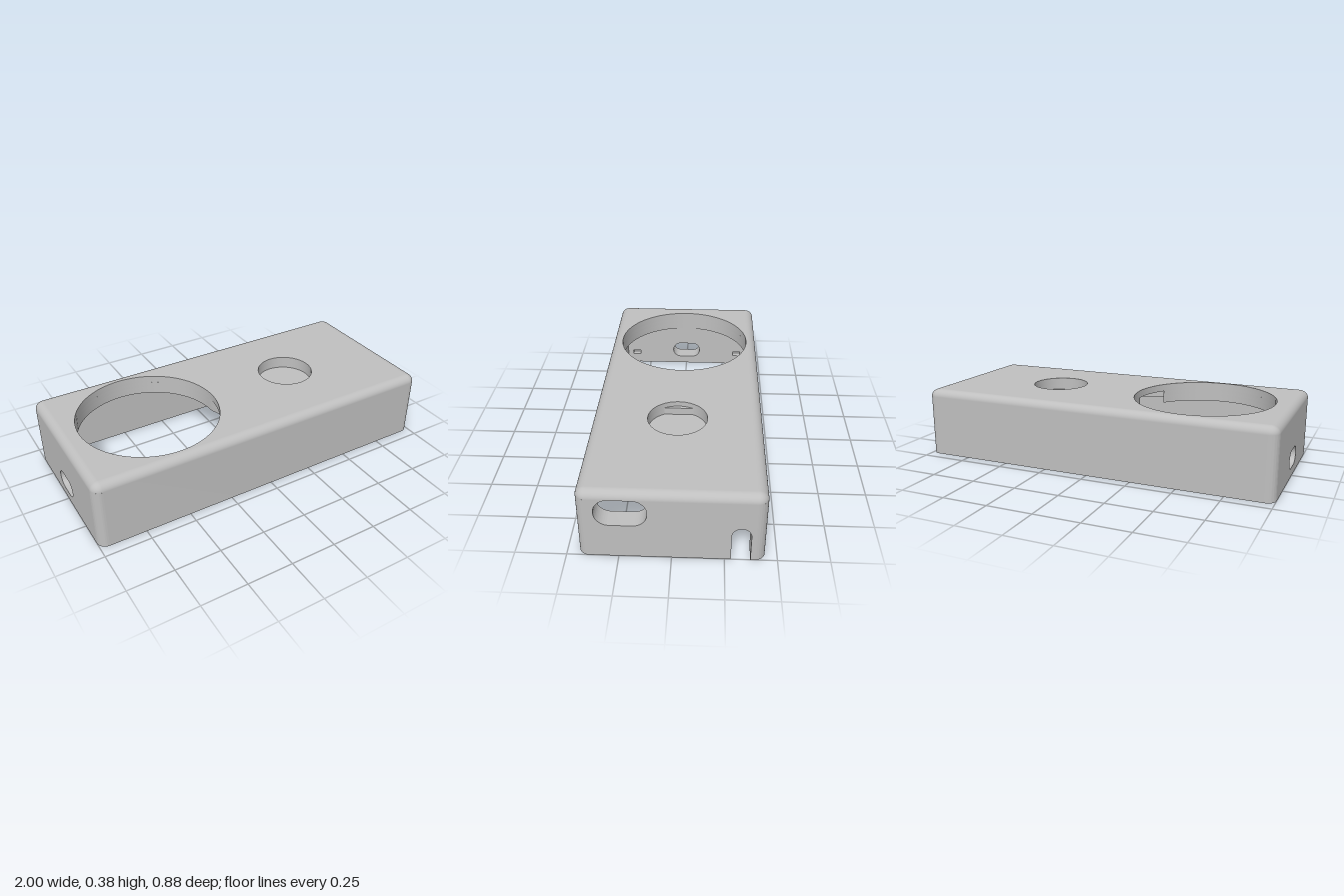
import * as THREE from 'three';
import { toCreasedNormals } from 'three/addons/utils/BufferGeometryUtils.js';

const H = 0.378, SHOULDER = 0.338, CEILING = 0.268;
const HX = 1, HZ = 0.442, R = 0.05;
const IX = 0.9, IZ = 0.405, FLAT = HZ - R;

const poly = (pts, Type = THREE.Path) => new Type(pts.map(([a, b]) => new THREE.Vector2(a, b)));
const rect = (a0, a1, b0, b1, Type) => poly([[a0, b0], [a1, b0], [a1, b1], [a0, b1]], Type);

function roundRect(a0, a1, b0, b1, r) {
  const p = new THREE.Path();
  p.moveTo(a0 + r, b0);
  p.absarc(a1 - r, b0 + r, r, -Math.PI / 2, 0);
  p.absarc(a1 - r, b1 - r, r, 0, Math.PI / 2);
  p.absarc(a0 + r, b1 - r, r, Math.PI / 2, Math.PI);
  p.absarc(a0 + r, b0 + r, r, Math.PI, Math.PI * 1.5);
  p.closePath();
  return p;
}

const circle = (x, z, r) => new THREE.Path().absarc(x, z, r, 0, Math.PI * 2);

export function createModel() {
  const group = new THREE.Group();
  const plastic = new THREE.MeshStandardMaterial({ color: 0xbfbfbf });
  plastic.name = 'greyPlastic';

  const add = (name, geo) => {
    const mesh = new THREE.Mesh(geo, plastic);
    mesh.name = name;
    group.add(mesh);
  };
  const extrude = (shape, holes, depth) => {
    shape.holes.push(...holes);
    return new THREE.ExtrudeGeometry(shape, { depth, bevelEnabled: false, curveSegments: 32 });
  };
  // plan outline (x, z) raised from y0 to y1
  const slab = (name, shape, holes, y0, y1) =>
    add(name, toCreasedNormals(extrude(shape, holes, y1 - y0).rotateX(Math.PI / 2).translate(0, y1, 0), 0.5));
  // end outline (z, y) spanning x0 to x1
  const endSlab = (name, shape, holes, x0, x1) =>
    add(name, toCreasedNormals(extrude(shape, holes, x1 - x0).rotateY(-Math.PI / 2).translate(x1, 0, 0), 0.5));

  // long walls with the rounded corners
  for (const s of [1, -1]) {
    const w = new THREE.Shape();
    const a = s * Math.PI / 2;
    w.moveTo(-IX, s * FLAT);
    w.lineTo(-IX, s * IZ);
    w.lineTo(IX, s * IZ);
    w.lineTo(IX, s * FLAT);
    w.lineTo(HX, s * FLAT);
    w.absarc(HX - R, s * FLAT, R, 0, a, s < 0);
    w.absarc(-HX + R, s * FLAT, R, a, s * Math.PI, s < 0);
    w.closePath();
    slab(s > 0 ? 'frontWall' : 'backWall', w, [], 0, SHOULDER);
  }

  // left end wall with plug opening and arched cable notch
  const end = new THREE.Shape();
  end.moveTo(-FLAT, 0);
  end.lineTo(-0.372, 0);
  end.lineTo(-0.372, 0.144);
  end.absarc(-0.326, 0.144, 0.046, Math.PI, 0, true);
  end.lineTo(-0.28, 0);
  end.lineTo(FLAT, 0);
  end.lineTo(FLAT, SHOULDER);
  end.lineTo(-FLAT, SHOULDER);
  end.closePath();
  endSlab('leftEndWall', end, [roundRect(0.111, 0.358, 0.19, 0.3375, 0.07)], IX, HX);

  // right end wall in two layers, with an oval opening and blind latch slots
  const oval = () => roundRect(-0.09, 0.09, 0.05, 0.15, 0.0499);
  const latches = [1, -1].map(s => rect(s * 0.345 - 0.025, s * 0.345 + 0.025, 0.06, 0.09));
  endSlab('rightEndWallOuter', rect(-FLAT, FLAT, 0, SHOULDER, THREE.Shape), [oval()], -HX, -0.94);
  endSlab('rightEndWallInner', rect(-FLAT, FLAT, 0, SHOULDER, THREE.Shape), [oval(), ...latches], -0.94, -IX);

  // large opening joined to the tilted cable pocket beside it
  const bigHole = () => circle(-0.51, 0, 0.385);
  const pocketHole = () => {
    const p = new THREE.Path();
    p.absarc(-0.51, 0, 0.385, 0.605, Math.PI * 2 + 0.026);
    p.lineTo(-0.004, 0.306);
    p.lineTo(-0.14, 0.362);
    p.closePath();
    return p;
  };
  const plugPocket = () => poly([[0.88, 0.19], [0.88, 0.31], [0.66, 0.31], [0.6, 0.245], [0.64, 0.19]]);
  const recess = () => circle(0.375, 0, 0.156);
  const inner = () => rect(-IX, IX, -IZ, IZ, THREE.Shape);

  // top plate and the ceiling layers below it
  slab('topPlate', rect(-HX + R, HX - R, -FLAT, FLAT, THREE.Shape), [bigHole(), recess()], SHOULDER, H);
  slab('recessLayer', inner(), [pocketHole(), recess(), plugPocket()], 0.31, SHOULDER);
  slab('recessFloor', inner(), [pocketHole(), plugPocket()], 0.28, 0.31);
  slab('ceiling', inner(), [pocketHole(), plugPocket(), rect(0.216, 0.87, -0.17, 0.17)], CEILING, 0.28);

  // raised ledge at one side of the round recess
  const t = Math.acos(-0.135 / 0.156);
  const ledge = new THREE.Shape();
  ledge.absarc(0.375, 0, 0.156, t, Math.PI * 2 - t);
  ledge.closePath();
  slab('recessLedge', ledge, [], 0.31, 0.35);

  // rounded top edge: rings of a shrinking rounded rectangle
  const pos = [], nor = [], idx = [];
  const rows = 8, arc = 8, n = 4 * (arc + 1);
  for (let k = 0; k <= rows; k++) {
    const a = (k / rows) * Math.PI / 2, c = Math.cos(a), s = Math.sin(a);
    for (let q = 0; q < 4; q++) {
      const cx = (q === 0 || q === 3 ? 1 : -1) * (HX - R), cz = (q < 2 ? 1 : -1) * FLAT;
      for (let j = 0; j <= arc; j++) {
        const b = (q + j / arc) * Math.PI / 2;
        pos.push(cx + R * c * Math.cos(b), SHOULDER + (H - SHOULDER) * s, cz + R * c * Math.sin(b));
        nor.push(c * Math.cos(b), s, c * Math.sin(b));
      }
    }
  }
  for (let k = 0; k < rows; k++) {
    for (let i = 0; i < n; i++) {
      const a = k * n + i, b = k * n + (i + 1) % n;
      idx.push(a, a + n, b, b, a + n, b + n);
    }
  }
  const edge = new THREE.BufferGeometry();
  edge.setAttribute('position', new THREE.Float32BufferAttribute(pos, 3));
  edge.setAttribute('normal', new THREE.Float32BufferAttribute(nor, 3));
  edge.setIndex(idx);
  add('roundedTopEdge', edge);

  return group;
}
